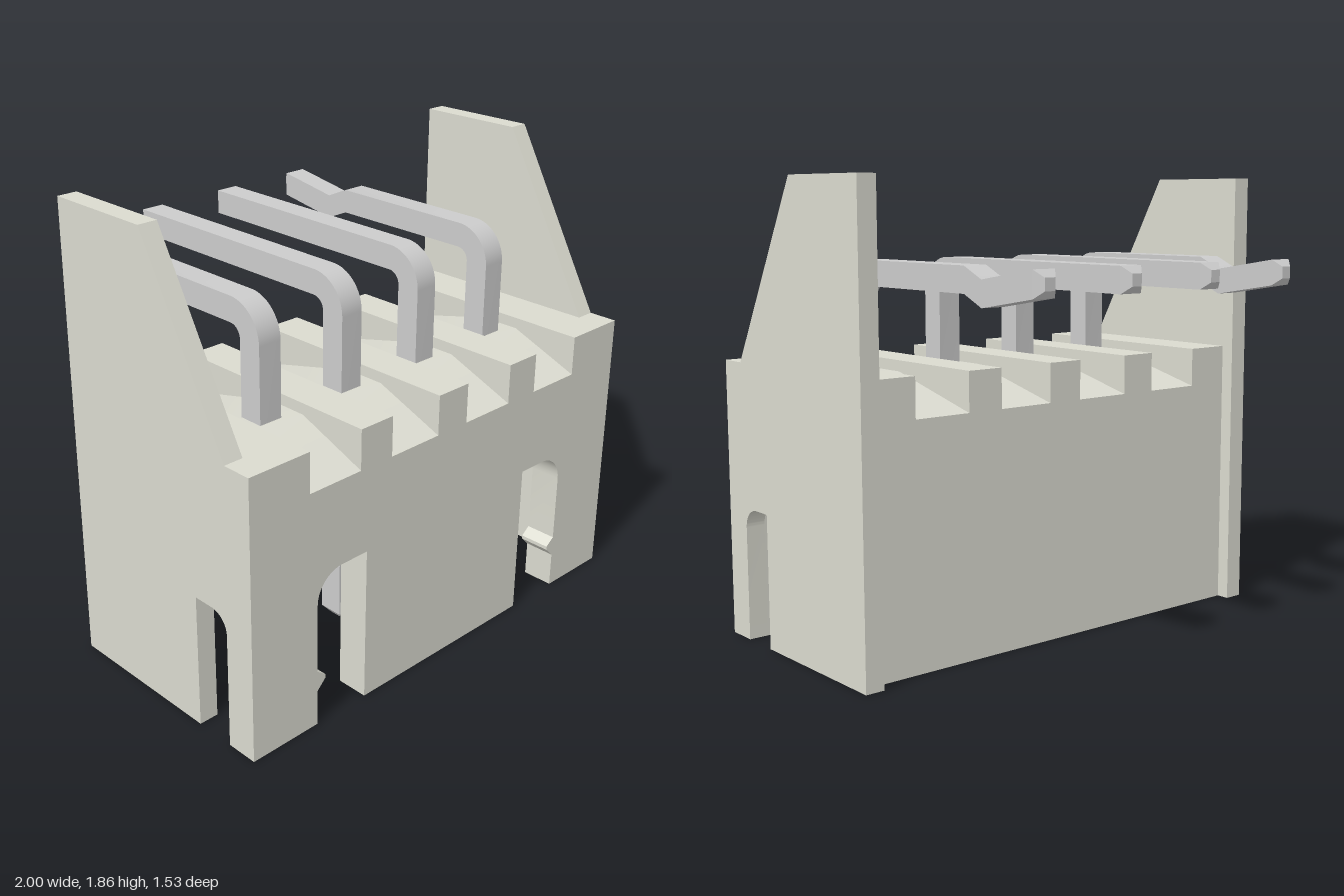
import * as THREE from 'three';
import { toCreasedNormals } from 'three/addons/utils/BufferGeometryUtils.js';

const housingMat = new THREE.MeshStandardMaterial({ color: 0xdadacf });
const pinMat = new THREE.MeshStandardMaterial({ color: 0xcccccc });

const FRONT = 0.765, BACK = -0.16, WALL = 0.08, TOP = 1.13, CEILING = 0.8;

const polygon = (pts) => new THREE.Shape(pts.map(([a, b]) => new THREE.Vector2(a, b)));

function addMesh(parent, name, geometry, material) {
  const mesh = new THREE.Mesh(geometry, material);
  mesh.name = name;
  parent.add(mesh);
  return mesh;
}

// Extrudes a (z, y) profile along x from x0 to x1
function extrudeAlongX(shape, x0, x1) {
  const geo = new THREE.ExtrudeGeometry(shape, { depth: x1 - x0, bevelEnabled: false, curveSegments: 10 });
  geo.rotateY(-Math.PI / 2).translate(x1, 0, 0);
  return toCreasedNormals(geo, 0.5);
}

// Tall side plate with a sloped front edge and a round-cornered slot
function sideShape() {
  const s = new THREE.Shape();
  s.moveTo(-0.215, 0);
  s.lineTo(0.47, 0);
  s.lineTo(0.47, 0.545);
  s.lineTo(0.555, 0.545);
  s.absarc(0.555, 0.465, 0.08, Math.PI / 2, 0, true);
  s.lineTo(0.635, 0);
  s.lineTo(FRONT, 0);
  s.lineTo(FRONT, TOP);
  s.lineTo(0.645, TOP);
  s.lineTo(0.24, 1.855);
  s.lineTo(-0.215, 1.855);
  s.closePath();
  return s;
}

// Front wall with two slots, each with a small latch bump on its outer edge
function frontShape() {
  const arc = [];
  for (let i = 0; i <= 10; i++) {
    const a = (Math.PI / 2) * (1 - i / 10);
    arc.push([0.57 + 0.12 * Math.cos(a), 0.51 + 0.12 * Math.sin(a)]);
  }
  const half = [
    [0.445, 0], [0.445, 0.63], ...arc,
    [0.69, 0.23], [0.65, 0.2], [0.65, 0.185], [0.69, 0.145], [0.69, 0],
    [1 - WALL, 0], [1 - WALL, CEILING],
  ];
  const mirrored = half.map(([x, y]) => [-x, y]).reverse();
  return polygon([...half, ...mirrored]);
}

// Square bent pin: upright leg, rounded elbow, rearward tail
function pinGeometry(kinked) {
  const s = new THREE.Shape();
  s.moveTo(0.335, 0.115);
  s.lineTo(0.435, 0.115);
  s.lineTo(0.435, 1.385);
  s.absarc(0.285, 1.385, 0.15, 0, Math.PI / 2, false);
  if (kinked) { s.lineTo(-0.36, 1.535); s.lineTo(-0.46, 1.49); }
  s.lineTo(-0.735, 1.535);
  s.lineTo(-0.735, 1.435);
  if (kinked) { s.lineTo(-0.46, 1.39); s.lineTo(-0.36, 1.435); }
  s.lineTo(0.285, 1.435);
  s.absarc(0.285, 1.385, 0.05, Math.PI / 2, 0, true);
  s.closePath();
  return extrudeAlongX(s, -0.05, 0.05);
}

// Blunt four-sided point, tapering toward +y
function tipGeometry() {
  const r = Math.SQRT2;
  return new THREE.CylinderGeometry(0.023 * r, 0.05 * r, 0.032, 4).rotateY(Math.PI / 4).toNonIndexed();
}

export function createModel() {
  const model = new THREE.Group();
  model.name = 'pinHeader';

  const housing = new THREE.Group();
  housing.name = 'housing';
  model.add(housing);

  // Side plates
  const side = sideShape();
  addMesh(housing, 'leftSidePlate', extrudeAlongX(side, 1 - WALL, 1), housingMat);
  addMesh(housing, 'rightSidePlate', extrudeAlongX(side, -1, -1 + WALL), housingMat);

  // Front wall
  const front = new THREE.ExtrudeGeometry(frontShape(), { depth: 0.13, bevelEnabled: false });
  addMesh(housing, 'frontWall', toCreasedNormals(front.translate(0, 0, FRONT - 0.13), 0.5), housingMat);

  // Back wall with a chamfered lower inside edge
  const back = polygon([[BACK, 0], [-0.09, 0], [-0.06, 0.035], [-0.06, CEILING], [BACK, CEILING]]);
  addMesh(housing, 'backWall', extrudeAlongX(back, -1 + WALL, 1 - WALL), housingMat);

  // Solid top: ribs alternating with ridged grooves around the pins
  const rib = polygon([[BACK, CEILING], [FRONT, CEILING], [FRONT, TOP], [BACK, TOP]]);
  const groove = polygon([
    [BACK, CEILING], [FRONT, CEILING], [FRONT, 0.97], [0.47, 1.085], [0.3, 1.085], [BACK, 0.97],
  ]);
  const pinX = [-0.605, -0.202, 0.202, 0.605];
  let start = -1 + WALL;
  for (const x of pinX) {
    addMesh(housing, 'topRib', extrudeAlongX(rib, start, x - 0.123), housingMat);
    addMesh(housing, 'pinGroove', extrudeAlongX(groove, x - 0.123, x + 0.123), housingMat);
    start = x + 0.123;
  }
  addMesh(housing, 'topRib', extrudeAlongX(rib, start, 1 - WALL), housingMat);

  // Pins; the outer two have a kinked tail
  pinX.forEach((x, i) => {
    const pin = new THREE.Group();
    pin.name = 'pin';
    pin.position.x = x;
    addMesh(pin, 'pinBody', pinGeometry(i === 0 || i === 3), pinMat);
    const tipMat = pinMat.clone();
    tipMat.flatShading = true;
    const lower = addMesh(pin, 'lowerTip', tipGeometry(), tipMat);
    lower.rotation.x = Math.PI;
    lower.position.set(0, 0.099, 0.385);
    const rear = addMesh(pin, 'rearTip', tipGeometry(), tipMat);
    rear.rotation.x = -Math.PI / 2;
    rear.position.set(0, 1.485, -0.751);
    model.add(pin);
  });

  return model;
}
